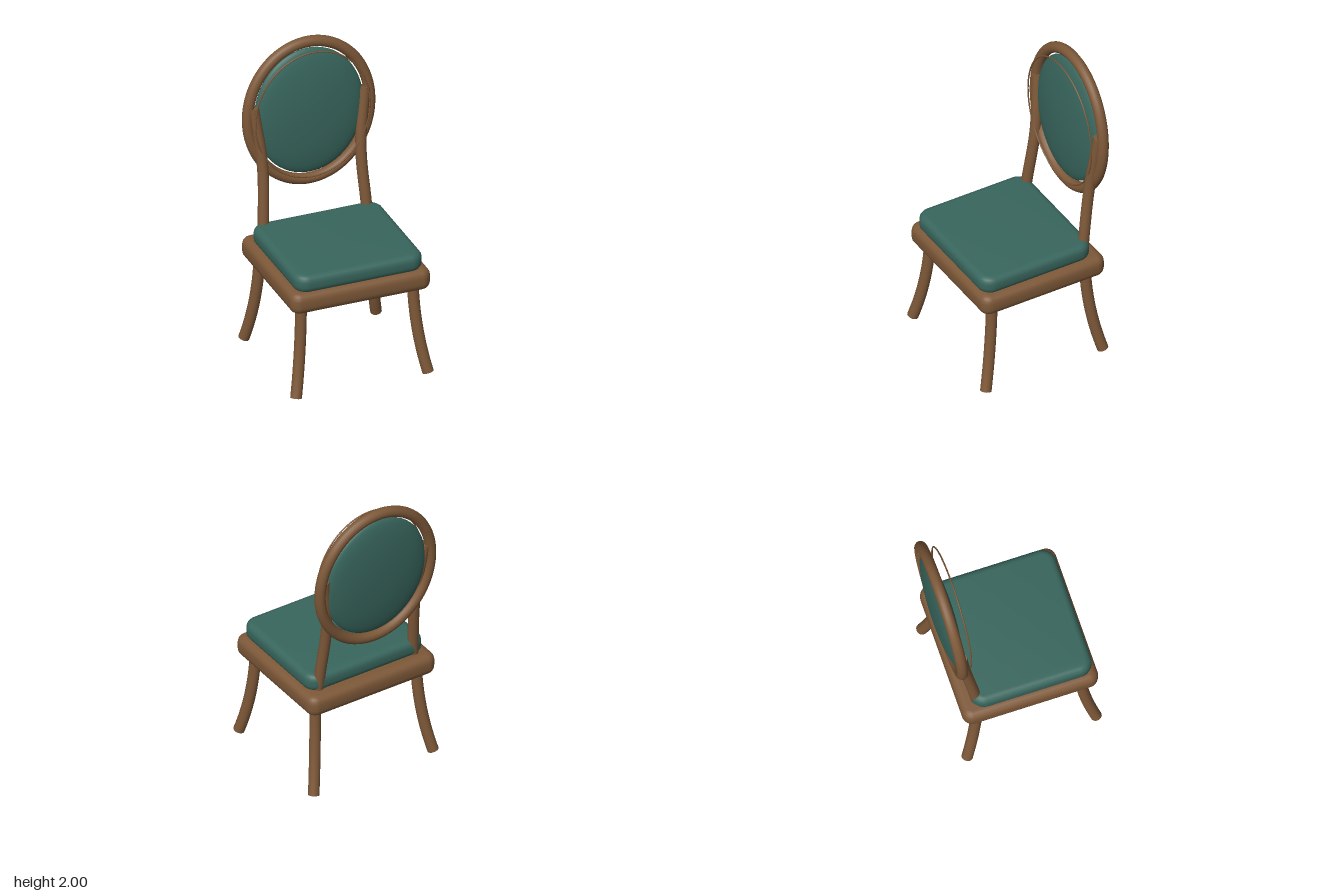
import * as THREE from 'three';
import { toCreasedNormals, mergeGeometries } from 'three/addons/utils/BufferGeometryUtils.js';

const V = (x, y, z) => new THREE.Vector3(x, y, z);

// Round rod along a curve, closed by a disc at each end
function rod(curve, radius) {
  const parts = [new THREE.TubeGeometry(curve, 24, radius, 16)];
  for (const t of [0, 1]) {
    const out = curve.getTangent(t).multiplyScalar(t ? 1 : -1);
    const turn = new THREE.Quaternion().setFromUnitVectors(V(0, 0, 1), out);
    const end = curve.getPoint(t);
    parts.push(new THREE.CircleGeometry(radius, 16).applyQuaternion(turn).translate(end.x, end.y, end.z));
  }
  return mergeGeometries(parts);
}

// Closed elliptical hoop in the xy plane
function hoop(a, b, radius, sides) {
  const points = [];
  for (let i = 0; i < 48; i++) {
    const t = (i / 48) * Math.PI * 2;
    points.push(V(a * Math.cos(t), b * Math.sin(t), 0));
  }
  return new THREE.TubeGeometry(new THREE.CatmullRomCurve3(points, true), 96, radius, sides, true);
}

// Rounded slab between two heights, given its outer half width and z range
function slab(halfX, z0, z1, y0, y1, corner, bevel) {
  const w = halfX - bevel, d = (z1 - z0) / 2 - bevel, r = Math.max(corner - bevel, 0.005);
  const s = new THREE.Shape();
  s.absarc(w - r, d - r, r, 0, Math.PI / 2);
  s.absarc(-w + r, d - r, r, Math.PI / 2, Math.PI);
  s.absarc(-w + r, -d + r, r, Math.PI, Math.PI * 1.5);
  s.absarc(w - r, -d + r, r, Math.PI * 1.5, Math.PI * 2);
  const g = new THREE.ExtrudeGeometry(s, {
    depth: y1 - y0 - 2 * bevel, bevelThickness: bevel, bevelSize: bevel, bevelSegments: 4, curveSegments: 6,
  });
  g.translate(0, 0, bevel).rotateX(-Math.PI / 2).translate(0, y0, (z0 + z1) / 2);
  return toCreasedNormals(g, 0.6);
}

export function createModel() {
  const group = new THREE.Group();
  const wood = new THREE.MeshStandardMaterial({ color: 0x7d5838 });
  wood.name = 'brown wood';
  const fabric = new THREE.MeshStandardMaterial({ color: 0x38665d });
  fabric.name = 'teal fabric';

  const add = (name, geometry, material, parent = group) => {
    const mesh = new THREE.Mesh(geometry, material);
    mesh.name = name;
    parent.add(mesh);
    return mesh;
  };

  // Seat
  add('seatFrame', slab(0.463, -0.408, 0.467, 0.585, 0.725, 0.065, 0.048), wood);
  add('seatCushion', slab(0.425, -0.337, 0.446, 0.715, 0.832, 0.09, 0.042), fabric);

  for (const [side, s] of [['left', 1], ['right', -1]]) {
    // Splayed, curved legs
    add(side + 'FrontLeg', rod(new THREE.QuadraticBezierCurve3(
      V(s * 0.37, 0.64, 0.362), V(s * 0.374, 0.3, 0.37), V(s * 0.438, 0.009, 0.446)), 0.036), wood);
    add(side + 'BackLeg', rod(new THREE.QuadraticBezierCurve3(
      V(s * 0.37, 0.64, -0.3), V(s * 0.374, 0.3, -0.31), V(s * 0.438, 0.009, -0.388)), 0.036), wood);
    // Posts rising from the seat into the hoop
    add(side + 'BackPost', rod(new THREE.CatmullRomCurve3([
      V(s * 0.35, 0.68, -0.295), V(s * 0.34, 0.85, -0.313),
      V(s * 0.326, 1.2, -0.36), V(s * 0.37, 1.59, -0.402)]), 0.035), wood);
  }

  // Oval back, leaning slightly backwards
  const back = new THREE.Group();
  back.name = 'ovalBack';
  back.position.set(0, 1.5, -0.409);
  back.rotation.x = -0.048;
  group.add(back);
  add('backHoop', hoop(0.405, 0.465, 0.035, 16), wood, back);
  add('backCushion', new THREE.SphereGeometry(1, 48, 32).scale(0.362, 0.422, 0.066), fabric, back);

  // Thin upright trim in front of the back cushion
  add('backTrim', hoop(0.38, 0.432, 0.005, 6), wood).position.set(0, 1.5, -0.341);

  return group;
}
